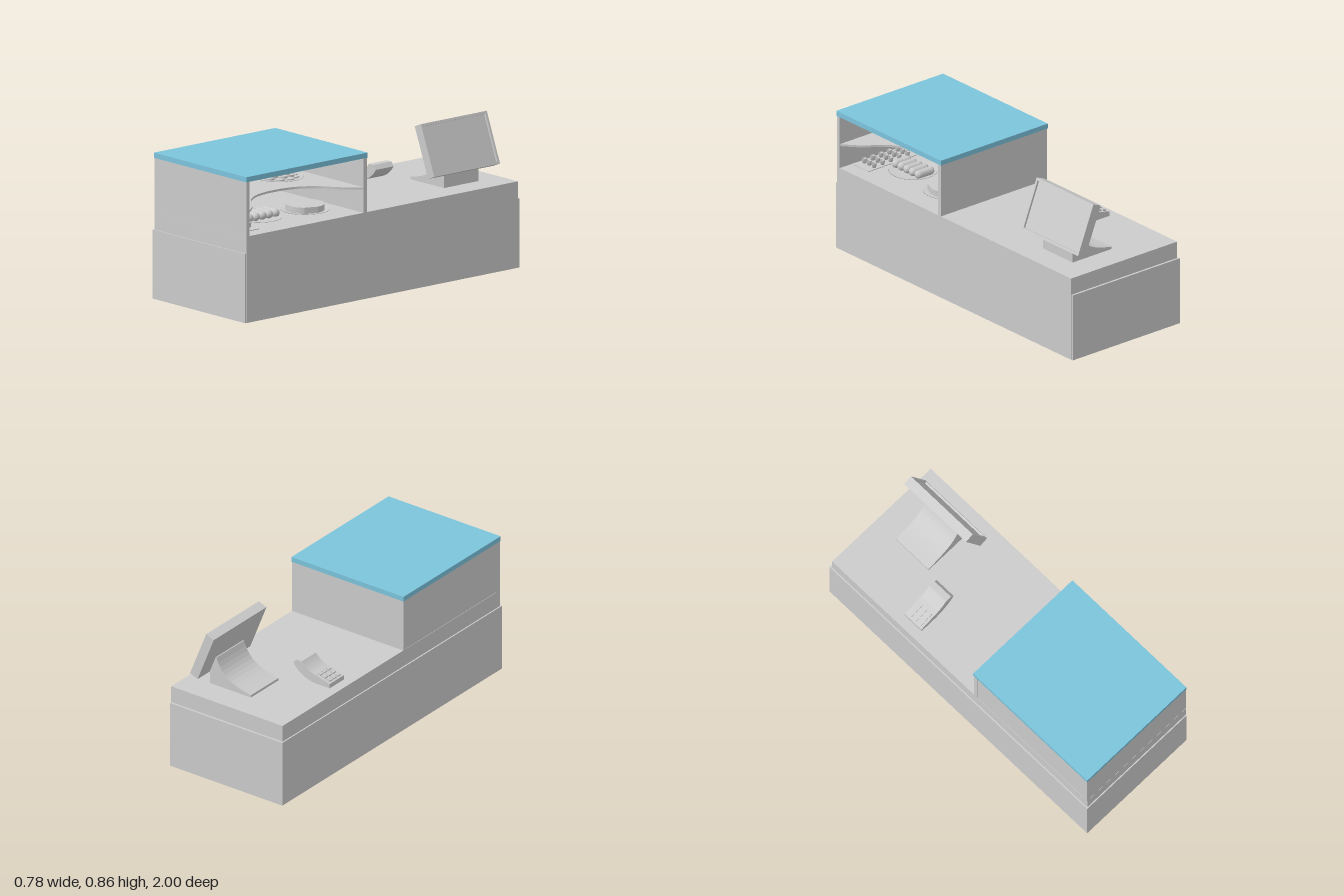
import * as THREE from 'three';

const grey = new THREE.MeshStandardMaterial({ color: 0xcccccc });
const blue = new THREE.MeshStandardMaterial({ color: 0x7cc4dc });
const orange = new THREE.MeshStandardMaterial({ color: 0xf0b850, side: THREE.DoubleSide });

export function createModel() {
  const root = new THREE.Group();

  const add = (name, geo, mat = grey, x = 0, y = 0, z = 0, parent = root) => {
    const m = new THREE.Mesh(geo, mat);
    m.name = name;
    m.position.set(x, y, z);
    parent.add(m);
    return m;
  };
  // Box given by its limits on each axis
  const box = (name, x0, x1, y0, y1, z0, z1, mat = grey, parent = root) =>
    add(name, new THREE.BoxGeometry(x1 - x0, y1 - y0, z1 - z0), mat,
      (x0 + x1) / 2, (y0 + y1) / 2, (z0 + z1) / 2, parent);
  // Side profile in x and y, extruded along z
  const profile = (name, shape, z0, z1) =>
    add(name, new THREE.ExtrudeGeometry(shape, { depth: z1 - z0, bevelEnabled: false, curveSegments: 10 }), grey, 0, 0, z0);

  // Counter: body with thin outer cladding on the lower part
  box('counterBody', -0.38, 0.386, 0, 0.488, -0.987, 0.993);
  box('baseCladding', -0.388, 0.384, 0, 0.39, -1, 1);

  // Display case, open towards +x
  box('caseFrontWall', -0.38, 0.386, 0.488, 0.795, 0.968, 0.992);
  box('caseRearWall', -0.38, 0.386, 0.488, 0.795, 0.113, 0.138);
  box('caseSidePanel', -0.378, -0.36, 0.488, 0.795, 0.12, 0.985);
  box('caseRoof', -0.383, 0.388, 0.795, 0.824, 0.11, 0.995, blue);

  // Shelf with a concave front edge
  const half = [[0.385, 0.138], [0.305, 0.23], [0.195, 0.315], [0.13, 0.42]];
  const edge = [...half, [0.11, 0.553], ...half.map(([x, z]) => [x, 1.106 - z]).reverse()]
    .map(p => new THREE.Vector2(...p));
  const shelf = new THREE.Shape();
  shelf.moveTo(-0.36, 0.138);
  shelf.lineTo(0.385, 0.138);
  shelf.splineThru(edge.slice(1));
  shelf.lineTo(-0.36, 0.968);
  shelf.closePath();
  const shelfGeo = new THREE.ExtrudeGeometry(shelf, { depth: 0.012, bevelEnabled: false, curveSegments: 24 });
  shelfGeo.rotateX(Math.PI / 2);
  add('shelf', shelfGeo, grey, 0, 0.632, 0);

  // Shallow plates
  const plateGeo = new THREE.LatheGeometry(
    [[0, 0], [0.085, 0], [0.135, 0.01], [0.134, 0.013], [0.085, 0.005], [0, 0.005]]
      .map(p => new THREE.Vector2(...p)), 40);
  const plate = (x, y, z) => add('plate', plateGeo, grey, x, y, z);
  plate(0.14, 0.488, 0.35);
  plate(0.11, 0.488, 0.67);
  plate(-0.08, 0.632, 0.345);
  plate(-0.08, 0.632, 0.745);

  // Round cake with a slice cut out and its filling showing
  const cake = new THREE.Group();
  cake.name = 'roundCake';
  cake.position.set(0.14, 0.493, 0.35);
  root.add(cake);
  const r = 0.107, h = 0.038, cut = 0.75;
  const sector = new THREE.Shape();
  sector.moveTo(0, 0);
  sector.absarc(0, 0, r, cut, Math.PI * 2, false);
  sector.closePath();
  const cakeGeo = new THREE.ExtrudeGeometry(sector, { depth: h, bevelEnabled: false, curveSegments: 40 });
  cakeGeo.rotateX(Math.PI / 2);
  add('cakeBody', cakeGeo, grey, 0, h, 0, cake);
  for (const [a, side] of [[0, 1], [cut, -1]]) {
    const face = add('cakeFilling', new THREE.PlaneGeometry(r * 0.96, h * 0.94), orange, 0, 0, 0, cake);
    const off = 0.0008 * side;
    face.position.set(Math.cos(a) * r / 2 - Math.sin(a) * off, h / 2,
      Math.sin(a) * r / 2 + Math.cos(a) * off);
    face.rotation.y = -a;
  }

  // Row of rounded buns
  for (let i = 0; i < 5; i++) {
    const bun = add('bun', new THREE.CapsuleGeometry(0.024, 0.08, 6, 16), grey, 0.11, 0.515, 0.575 + i * 0.048);
    bun.rotation.z = Math.PI / 2;
  }

  // Small cups on a tray
  box('cupTray', -0.05, 0.3, 0.488, 0.492, 0.825, 0.955);
  const cupGeo = new THREE.LatheGeometry(
    [[0, 0], [0.011, 0], [0.015, 0.026], [0.012, 0.026], [0.009, 0.012], [0, 0.012]]
      .map(p => new THREE.Vector2(...p)), 14);
  for (let i = 0; i < 3; i++)
    for (let j = 0; j < 5; j++) add('cup', cupGeo, grey, j * 0.06, 0.492, 0.848 + i * 0.041);

  // Square cake and a pile of biscuits on the shelf
  box('squareCake', -0.155, -0.005, 0.637, 0.687, 0.68, 0.83);
  const biscuitGeo = new THREE.CylinderGeometry(0.026, 0.026, 0.011, 16);
  [[9, 0.085], [7, 0.06], [5, 0.038], [1, 0]].forEach(([n, ring], layer) => {
    for (let i = 0; i < n; i++) {
      const a = (i / n) * Math.PI * 2 + layer * 0.4;
      add('biscuit', biscuitGeo, grey, -0.08 + Math.cos(a) * ring, 0.643 + layer * 0.0112, 0.345 + Math.sin(a) * ring);
    }
  });

  // Till stand: thin foot sweeping up to the monitor
  const stand = new THREE.Shape();
  stand.moveTo(-0.042, 0.488);
  stand.lineTo(0.238, 0.488);
  stand.lineTo(0.238, 0.59);
  stand.lineTo(0.21, 0.665);
  stand.lineTo(0.195, 0.66);
  stand.bezierCurveTo(0.155, 0.56, 0.11, 0.53, -0.042, 0.502);
  stand.closePath();
  profile('tillStand', stand, -0.828, -0.577);

  // Till monitor, leaning back, with a recessed screen
  const monitor = new THREE.Group();
  monitor.name = 'tillMonitor';
  monitor.position.set(0.212, 0.708, -0.698);
  monitor.rotation.z = 0.38;
  root.add(monitor);
  const H = 0.15, W = 0.24, rim = 0.014;
  box('monitorBack', -0.028, 0.016, -H, H, -W, W, grey, monitor);
  for (const s of [-1, 1]) {
    const y = s * (H - rim / 2), z = s * (W - rim / 2);
    box('monitorRim', 0.016, 0.028, y - rim / 2, y + rim / 2, -W, W, grey, monitor);
    box('monitorRim', 0.016, 0.028, -H + rim, H - rim, z - rim / 2, z + rim / 2, grey, monitor);
  }

  // Card reader with a raised curved end
  const reader = new THREE.Shape();
  reader.moveTo(-0.322, 0.488);
  reader.lineTo(-0.215, 0.488);
  reader.quadraticCurveTo(-0.12, 0.5, -0.072, 0.57);
  reader.lineTo(-0.092, 0.594);
  reader.lineTo(-0.13, 0.594);
  reader.quadraticCurveTo(-0.17, 0.55, -0.215, 0.542);
  reader.lineTo(-0.322, 0.514);
  reader.closePath();
  profile('cardReader', reader, -0.482, -0.352);

  // Keypad on the sloping part
  const slope = Math.atan2(0.028, 0.107);
  for (let i = 0; i < 3; i++)
    for (let j = 0; j < 3; j++) {
      const x = -0.3 + i * 0.032;
      const key = add('readerKey', new THREE.BoxGeometry(0.022, 0.012, 0.026), grey,
        x, 0.515 + (x + 0.322) * Math.tan(slope) + 0.002, -0.417 + (j - 1) * 0.037);
      key.rotation.z = slope;
    }

  return root;
}
